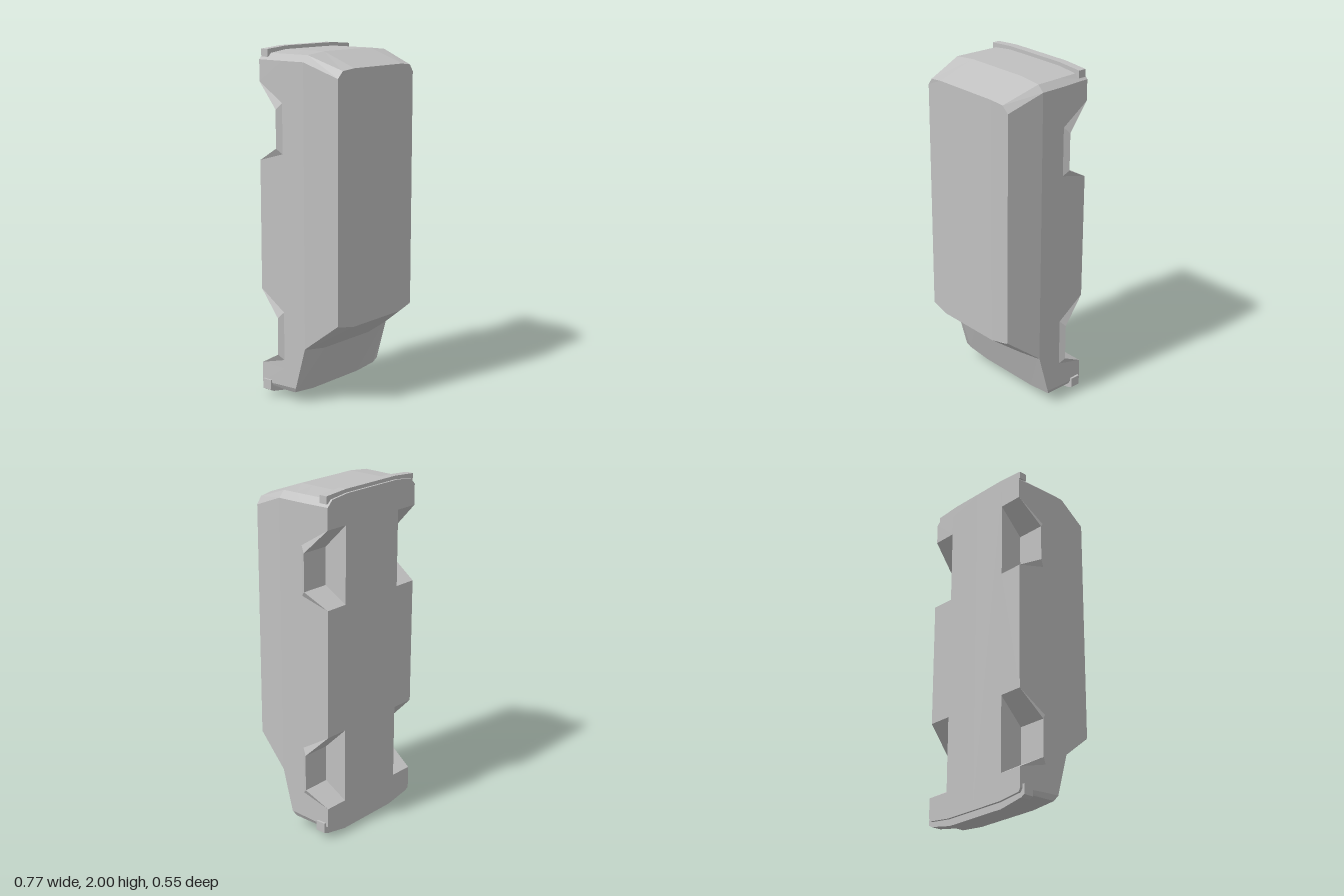
import * as THREE from 'three';

const grey = new THREE.MeshStandardMaterial({ color: 0xc0c0c0, flatShading: true });
grey.name = 'light grey';

const V = (x, y, z) => new THREE.Vector3(x, y, z);

// Collects flat polygons, turned to face the hint direction, each mirrored in x
function shell() {
  const pos = [];
  const put = (pts) => {
    for (let i = 1; i < pts.length - 1; i++) {
      for (const p of [pts[0], pts[i], pts[i + 1]]) pos.push(p.x, p.y, p.z);
    }
  };
  const face = (pts, hint) => {
    const n = V(0, 0, 0);
    for (let i = 1; i < pts.length - 1; i++) {
      n.add(pts[i].clone().sub(pts[0]).cross(pts[i + 1].clone().sub(pts[0])));
    }
    const p = n.dot(hint) < 0 ? [...pts].reverse() : pts;
    put(p);
    put(p.map((q) => V(-q.x, q.y, q.z)).reverse());
  };
  const mesh = (name) => {
    const g = new THREE.BufferGeometry();
    g.setAttribute('position', new THREE.Float32BufferAttribute(pos, 3));
    g.computeVertexNormals();
    const m = new THREE.Mesh(g, grey);
    m.name = name;
    return m;
  };
  return { face, mesh };
}

// Half outlines, from the middle of the tail round the side to the middle of the nose
const ring = (z, pts) => pts.map(([x, y, dz = 0]) => V(x, y, z + dz));
const RINGS = [
  ring(0.277, [[0, 1.9], [0.21, 1.9], [0.295, 1.89, -0.007], [0.33, 1.85, -0.012],
    [0.33, 0.497, -0.012], [0.32, 0.492, -0.01], [0.21, 0.472], [0, 0.472]]),
  ring(0.057, [[0, 1.98], [0.2, 1.98], [0.333, 1.966], [0.37, 1.93],
    [0.369, 0.335], [0.35, 0.329], [0.2, 0.305], [0, 0.305]]),
  ring(-0.03, [[0, 1.98], [0.2, 1.98], [0.331, 1.966], [0.369, 1.93],
    [0.37, 0.09, 0.018], [0.355, 0.06], [0.2, 0.045], [0, 0.045]]),
  ring(-0.1, [[0, 1.98], [0.2, 1.98], [0.328, 1.966], [0.367, 1.93],
    [0.367, 0.086], [0.352, 0.058], [0.2, 0.043], [0, 0.043]]),
  ring(-0.277, [[0, 1.98], [0.2, 1.98], [0.321, 1.966], [0.356, 1.93],
    [0.358, 0.075], [0.345, 0.055], [0.2, 0.038], [0, 0.038]]),
];

function body() {
  const { face, mesh } = shell();
  const middle = V(0, 1, -0.1);

  // Skin between the outlines; the lowest side strip is left for the wheel arches
  for (let r = 0; r < 4; r++) {
    for (let i = 0; i < 7; i++) {
      if (r === 3 && i === 3) continue;
      const a = RINGS[r], b = RINGS[r + 1];
      const q = [a[i], a[i + 1], b[i + 1], b[i]];
      const c = q.reduce((s, p) => s.add(p), V(0, 0, 0)).multiplyScalar(0.25);
      face(q, c.sub(middle));
    }
  }

  // Roof
  const R = RINGS[0], up = V(0, 0, 1);
  face([R[0], R[1], R[6], R[7]], up);
  face(R.slice(1, 7), up);

  // Sides and floor with a pocket for each wheel
  const out = V(1, 0, 0), down = V(0, 0, -1);
  const zTop = -0.1, zArch = -0.132, zFloor = -0.277, xIn = 0.215;
  const top = (y) => V(0.367, y, zTop);
  const low = (y) => V(0.357, y, zFloor);
  let upper = RINGS[3][3], lower = RINGS[4][3];
  for (const y of [1.37, 0.19]) {
    const A = low(y + 0.44), D = low(y);
    const B = V(0.385, y + 0.295, zArch), C = V(0.385, y + 0.08, zArch);
    const Bt = top(y + 0.33), Ct = top(y + 0.05);

    // Side above the arch, then the flared lip around it
    face([upper, lower, A, top(A.y)], out);
    face([A, top(A.y), Bt], out);
    face([A, Bt, B], out);
    face([B, Bt, Ct, C], out);
    face([C, Ct, D], out);
    face([D, Ct, top(D.y)], out);

    // Pocket walls
    const [a, b, c, d] = [A, B, C, D].map((p) => V(xIn, p.y, p.z));
    face([a, b, c, d], out);
    face([A, B, b, a], V(0, -1, -1));
    face([B, C, c, b], down);
    face([C, D, d, c], V(0, 1, -1));

    // Floor outside the pockets
    face([lower, A, a, V(xIn, lower.y, zFloor)], down);
    upper = top(D.y);
    lower = D;
  }
  face([upper, lower, RINGS[4][4], RINGS[3][4]], out);

  // Middle of the floor and its rounded ends
  const F = RINGS[4];
  const inTop = V(xIn, F[3].y, zFloor), inEnd = V(xIn, F[4].y, zFloor);
  face([F[0], F[1], inTop, inEnd, F[6], F[7]], down);
  face([F[1], F[2], F[3], inTop], down);
  face([lower, F[4], inEnd, V(xIn, lower.y, zFloor)], down);
  face([F[4], F[5], F[6], inEnd], down);
  return mesh('vanBody');
}

// Bumper bar: a mirrored outline in x and y, extruded along z
function bumper(name, outer, inner, z, depth) {
  const half = [...outer, ...inner];
  const flip = ([x, y]) => [-x, y];
  const pts = [...[...outer].reverse().map(flip), ...half, ...[...inner].reverse().map(flip)];
  const shape = new THREE.Shape(pts.map(([x, y]) => new THREE.Vector2(x, y)));
  const g = new THREE.ExtrudeGeometry(shape, { depth, bevelEnabled: false });
  g.translate(0, 0, z);
  const m = new THREE.Mesh(g, grey);
  m.name = name;
  return m;
}

export function createModel() {
  const group = new THREE.Group();
  group.name = 'van';
  group.add(body());
  group.add(bumper('rearBumper',
    [[0.2, 2.0], [0.352, 1.988]],
    [[0.352, 1.945], [0.325, 1.948], [0.2, 1.97]], -0.265, 0.047));
  group.add(bumper('frontBumper',
    [[0.2, 0.0], [0.35, 0.028], [0.373, 0.04]],
    [[0.373, 0.098], [0.352, 0.098], [0.34, 0.062], [0.2, 0.046]], -0.262, 0.06));
  return group;
}
